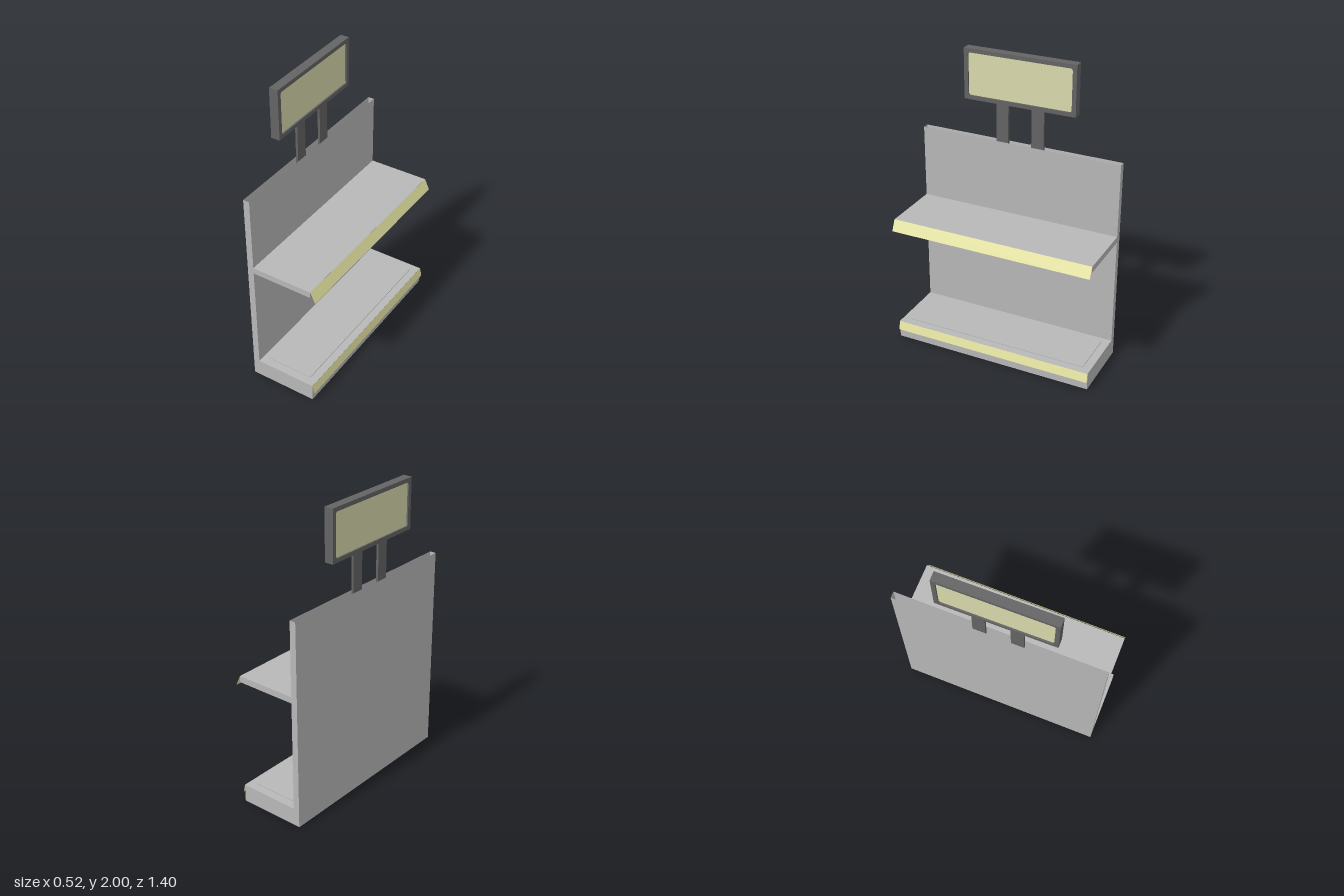
import * as THREE from 'three';

const grey = new THREE.MeshStandardMaterial({ color: 0xb8b8b8, side: THREE.DoubleSide });
grey.name = 'body grey';
const yellow = new THREE.MeshStandardMaterial({ color: 0xeeeca8, side: THREE.DoubleSide });
yellow.name = 'pale yellow';
const cream = new THREE.MeshStandardMaterial({ color: 0xdadaae });
cream.name = 'screen cream';
const dark = new THREE.MeshStandardMaterial({ color: 0x646464 });
dark.name = 'frame dark grey';

const HALF = 0.695; // half the length of the unit
const BACK = -0.247, PANEL = -0.204, FRONT = 0.213; // x positions
const TOP = 1.405, BASE = 0.12;

function add(group, name, geometry, material, x = 0, y = 0, z = 0) {
  const mesh = new THREE.Mesh(geometry, material);
  mesh.name = name;
  mesh.position.set(x, y, z);
  group.add(mesh);
  return mesh;
}

// Box given by its x, y and z ranges
function box(group, name, material, [x0, x1], [y0, y1], [z0, z1]) {
  return add(group, name, new THREE.BoxGeometry(x1 - x0, y1 - y0, z1 - z0), material,
    (x0 + x1) / 2, (y0 + y1) / 2, (z0 + z1) / 2);
}

// Sheet running the full length between two (x, y) points, facing +x / +y
function sheet(group, name, material, [ax, ay], [bx, by]) {
  const g = new THREE.BufferGeometry();
  g.setAttribute('position', new THREE.Float32BufferAttribute([
    ax, ay, HALF, bx, by, HALF, bx, by, -HALF, ax, ay, -HALF], 3));
  g.setIndex([0, 1, 2, 0, 2, 3]);
  g.computeVertexNormals();
  return add(group, name, g, material);
}

// Flat end wall in the xy plane, on both ends
function ends(group, name, x0, x1, y0, y1) {
  for (const s of [1, -1]) {
    const m = add(group, name, new THREE.PlaneGeometry(x1 - x0, y1 - y0), grey,
      (x0 + x1) / 2, (y0 + y1) / 2, s * HALF);
    if (s < 0) m.rotation.y = Math.PI;
  }
}

export function createModel() {
  const model = new THREE.Group();
  model.name = 'displayShelf';

  // Shelving unit, turned very slightly
  const unit = new THREE.Group();
  unit.name = 'shelvingUnit';
  unit.rotation.y = -0.011;
  model.add(unit);

  // Hollow back panel, open at the top with a steep inner sheet
  sheet(unit, 'backWall', grey, [BACK, 0], [BACK, TOP]).geometry.setIndex([0, 2, 1, 0, 3, 2]);
  unit.children[0].geometry.computeVertexNormals();
  sheet(unit, 'backPanelFront', grey, [PANEL, TOP], [PANEL, BASE]);
  sheet(unit, 'backPanelInside', grey, [BACK, TOP], [PANEL, 0.86]);
  ends(unit, 'backPanelEnd', BACK, PANEL, 0, TOP);

  // Hollow base, open underneath, with a raised tray on top
  sheet(unit, 'baseTop', grey, [BACK, BASE], [FRONT, BASE]);
  sheet(unit, 'baseFront', grey, [FRONT, BASE], [FRONT, 0]);
  ends(unit, 'baseEnd', PANEL, FRONT, 0, BASE);
  box(unit, 'baseTray', grey, [-0.165, 0.16], [BASE, BASE + 0.005], [-0.64, 0.64]);

  // Upper shelf
  box(unit, 'shelf', grey, [PANEL, FRONT], [0.866, 0.908], [-HALF, HALF]);

  // Sloping price strips on both front edges
  sheet(unit, 'shelfStrip', yellow, [FRONT + 0.001, 0.909], [0.248, 0.836]);
  sheet(unit, 'baseStrip', yellow, [FRONT + 0.001, BASE], [0.228, 0.06]);

  // Sign on two posts
  const sign = new THREE.Group();
  sign.name = 'sign';
  model.add(sign);
  for (const s of [1, -1]) {
    const z = s * 0.123;
    box(sign, 'signPost', dark, [-0.24, -0.224], [1.36, 1.68], [z - 0.042, z + 0.042]);
  }

  // Sign frame with a clipped-corner opening
  const w = 0.383, h = 0.169, iw = 0.355, ih = 0.142, c = 0.01;
  const shape = new THREE.Shape([[-w, -h], [w, -h], [w, h], [-w, h]].map(p => new THREE.Vector2(...p)));
  shape.holes.push(new THREE.Path([
    [-iw + c, -ih], [-iw, -ih + c], [-iw, ih - c], [-iw + c, ih],
    [iw - c, ih], [iw, ih - c], [iw, -ih + c], [iw - c, -ih],
  ].map(p => new THREE.Vector2(...p))));
  const frame = new THREE.ExtrudeGeometry(shape, { depth: 0.06, bevelEnabled: false });
  frame.translate(0, 0, -0.03).rotateY(Math.PI / 2);
  add(sign, 'signFrame', frame, dark, -0.232, 1.831, -0.003);

  // Recessed screen, visible from both sides
  box(sign, 'signScreen', cream, [-0.252, -0.212], [1.831 - ih, 1.831 + ih], [-iw - 0.003, iw - 0.003]);

  return model;
}
